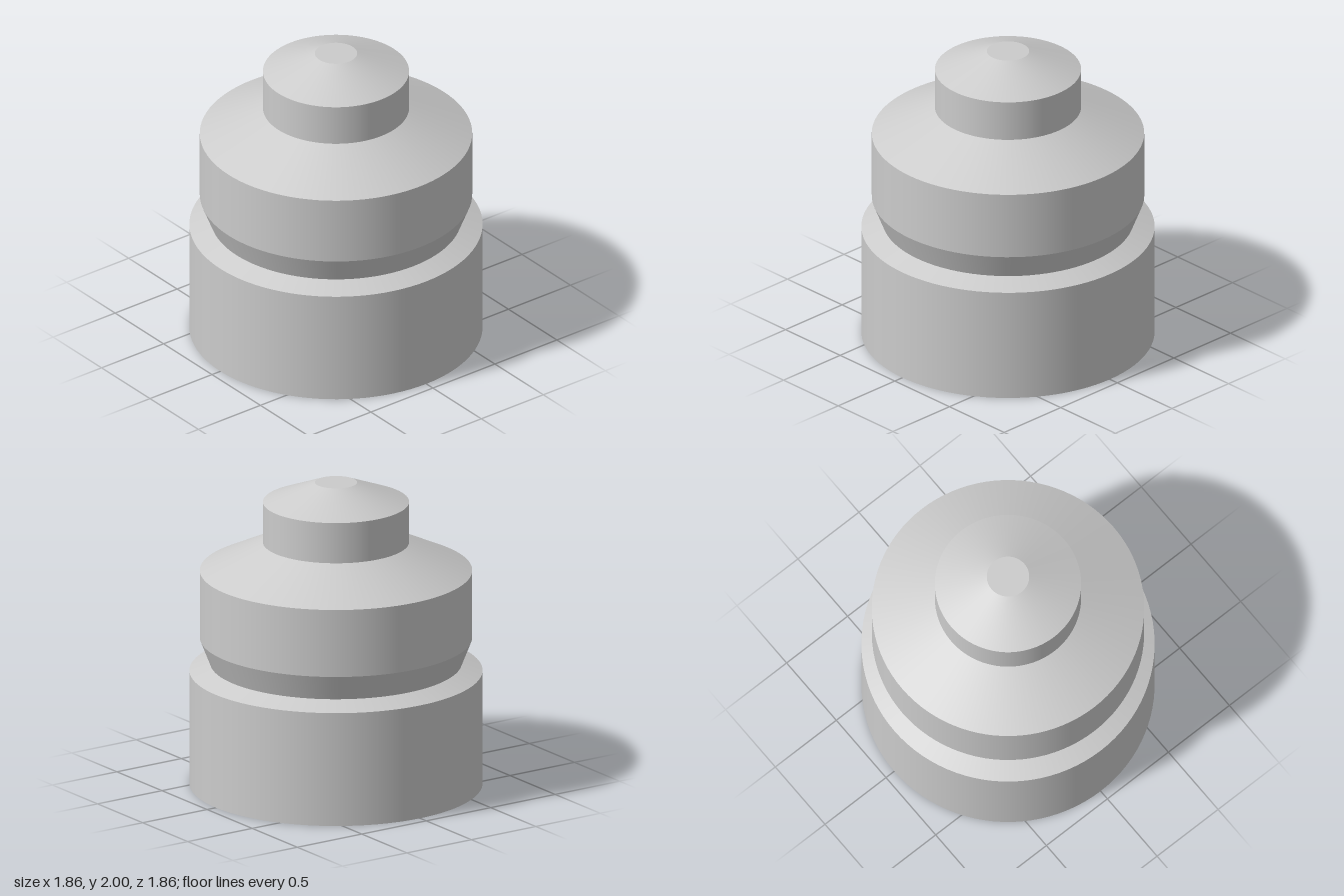
import * as THREE from 'three';

const SEGMENTS = 96;

export function createModel() {
  const model = new THREE.Group();
  model.name = 'turnedCap';
  const material = new THREE.MeshStandardMaterial({ color: 0xcccccc });

  // Each straight run of a profile is its own lathe band, so the rims stay sharp.
  function turnedPart(name, profile) {
    const part = new THREE.Group();
    part.name = name;
    for (let i = 0; i < profile.length - 1; i++) {
      const points = [profile[i], profile[i + 1]].map(([r, y]) => new THREE.Vector2(r, y));
      const band = new THREE.Mesh(new THREE.LatheGeometry(points, SEGMENTS), material);
      band.name = `${name}Band${i + 1}`;
      part.add(band);
    }
    model.add(part);
  }

  // Blind hole opening at the underside, from its ceiling down
  turnedPart('bore', [[0, 1.4], [0.333, 1.4], [0.333, 0]]);
  // Wide base with underside ring and bevelled shoulder
  turnedPart('base', [[0.333, 0], [0.932, 0], [0.932, 0.75], [0.8, 0.802]]);
  // Flared neck, straight wall and conical shoulder
  turnedPart('body', [[0.8, 0.802], [0.866, 0.97], [0.866, 1.415], [0.465, 1.603]]);
  // Top knob with a cone and small flat tip
  turnedPart('knob', [[0.465, 1.603], [0.465, 1.87], [0.135, 2], [0, 2]]);

  return model;
}
